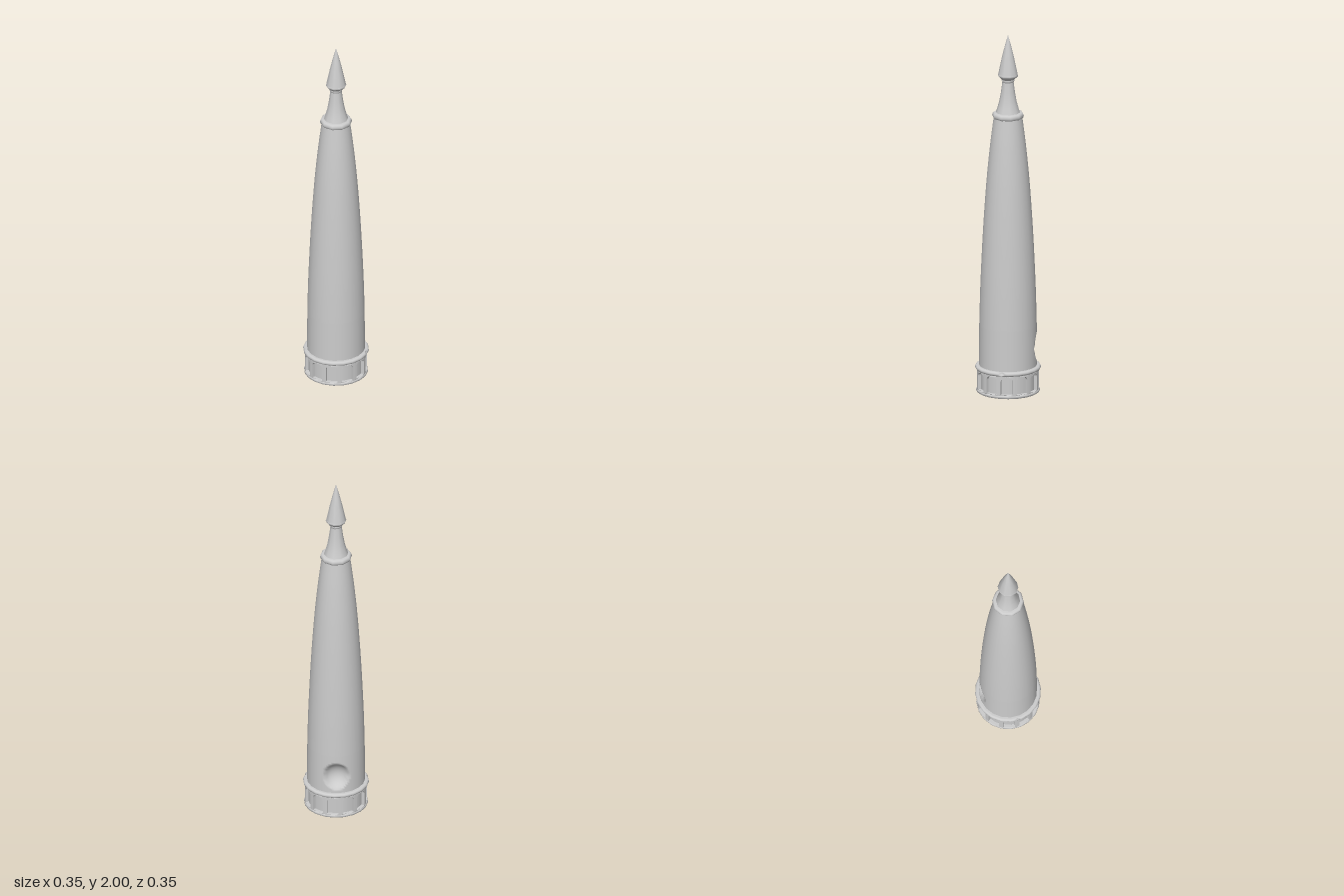
import * as THREE from 'three';

const SIDES = 20;
const grey = new THREE.MeshStandardMaterial({ color: 0xcccccc, side: THREE.DoubleSide });

// Profile of [radius, height] pairs; a repeated point makes a sharp edge
function lathe(points, sides, phase) {
  return new THREE.LatheGeometry(points.map(([r, y]) => new THREE.Vector2(r, y)), sides, phase);
}

// Flatten a finely divided round lathe onto a regular polygon
function facet(geometry, sides, phase) {
  const p = geometry.attributes.position;
  const step = (2 * Math.PI) / sides;
  for (let i = 0; i < p.count; i++) {
    const a = Math.atan2(p.getX(i), p.getZ(i)) - phase + 4 * Math.PI;
    const k = Math.cos(step / 2) / Math.cos((a % step) - step / 2);
    p.setXYZ(i, p.getX(i) * k, p.getY(i), p.getZ(i) * k);
  }
  return geometry;
}

// Push the surface in toward the axis where it lies inside a sphere
function carve(geometry, angle, distance, height, radius) {
  const p = geometry.attributes.position;
  const n = geometry.attributes.normal;
  const old = n.clone();
  const centre = new THREE.Vector3(Math.sin(angle) * distance, height, Math.cos(angle) * distance);
  const v = new THREE.Vector3();
  const near = [];
  for (let i = 0; i < p.count; i++) {
    v.fromBufferAttribute(p, i);
    near.push(v.distanceTo(centre) < radius * 1.1);
    if (v.distanceTo(centre) >= radius) continue;
    const h = Math.hypot(v.x, v.z);
    const b = (v.x * centre.x + v.z * centre.z) / h;
    const c = distance ** 2 + (v.y - height) ** 2 - radius ** 2;
    const t = b - Math.sqrt(Math.max(0, b * b - c));
    p.setXYZ(i, (v.x * t) / h, v.y, (v.z * t) / h);
  }
  geometry.computeVertexNormals();
  const fresh = geometry.attributes.normal;
  for (let i = 0; i < p.count; i++) {
    if (!near[i]) fresh.setXYZ(i, old.getX(i), old.getY(i), old.getZ(i));
  }
  return geometry;
}

// Rounded band profile around radius r and height y
function band(r, y, w, h) {
  const pts = [];
  for (let i = 0; i <= 8; i++) {
    const a = -Math.PI / 2 + (i / 8) * Math.PI;
    pts.push([r + w * Math.cos(a), y + h * Math.sin(a)]);
  }
  return pts;
}

// One bay of the base wall with an arched opening, bent round the axis
function archBay(count, radius, depth, y0, y1) {
  const half = (Math.PI / count) * radius;
  const shape = new THREE.Shape();
  shape.moveTo(-half, y0);
  for (const x of [-0.5, 0, 0.5, 1]) shape.lineTo(half * x, y0);
  for (const x of [1, 0.5, 0, -0.5, -1]) shape.lineTo(half * x, y1);
  shape.closePath();
  const w = half * 0.74;
  const bottom = y0 + 0.006, spring = y1 - 0.032;
  const hole = new THREE.Path();
  hole.moveTo(-w, bottom);
  hole.lineTo(-w, spring);
  hole.absellipse(0, spring, w, 0.024, Math.PI, 0, true);
  hole.lineTo(w, bottom);
  hole.lineTo(0, bottom);
  hole.closePath();
  shape.holes.push(hole);
  const g = new THREE.ExtrudeGeometry(shape, { depth, bevelEnabled: false, curveSegments: 8 });
  const p = g.attributes.position;
  for (let i = 0; i < p.count; i++) {
    const a = p.getX(i) / radius;
    const r = radius - depth + p.getZ(i);
    p.setXYZ(i, Math.sin(a) * r, p.getY(i), Math.cos(a) * r);
  }
  g.computeVertexNormals();
  return g;
}

export function createModel() {
  const model = new THREE.Group();
  const add = (name, geometry, parent = model) => {
    const mesh = new THREE.Mesh(geometry, grey);
    mesh.name = name;
    parent.add(mesh);
    return mesh;
  };
  const phase = Math.PI / SIDES;

  // Base: foot plate, recessed core and ring of arches
  add('foot', lathe([
    [0, 0], [0.165, 0], [0.165, 0], [0.172, 0.005], [0.172, 0.014],
    [0.167, 0.018], [0.167, 0.018], [0.15, 0.018],
  ], SIDES, phase));
  add('baseCore', lathe([[0.15, 0.01], [0.15, 0.135]], SIDES, phase));
  const arcade = new THREE.Group();
  arcade.name = 'baseArches';
  const bays = 12;
  const bay = archBay(bays, 0.168, 0.017, 0.016, 0.13);
  for (let i = 0; i < bays; i++) {
    add('archBay', bay, arcade).rotation.y = (i / bays) * 2 * Math.PI;
  }
  model.add(arcade);

  // Lower ring with two small chips
  const ring = facet(lathe(
    [[0.15, 0.126], ...band(0.166, 0.138, 0.012, 0.012), [0.15, 0.15]], SIDES * 6, phase), SIDES, phase);
  carve(ring, 0.89, 0.184, 0.148, 0.02);
  carve(ring, -1.81, 0.184, 0.145, 0.017);
  add('lowerRing', ring);

  // Tapering body with a scooped dent low on the back
  const outline = new THREE.SplineCurve([
    [0.155, 0.38], [0.149, 0.6], [0.135, 0.9], [0.117, 1.17], [0.097, 1.38], [0.077, 1.54],
  ].map(([r, y]) => new THREE.Vector2(r, y)));
  const profile = [];
  for (let i = 0; i < 24; i++) profile.push([0.157 - (i / 24) * 0.002, 0.14 + i * 0.01]);
  profile.push(...outline.getPoints(20).map((v) => [v.x, v.y]));
  const body = facet(lathe(profile, SIDES * 5, phase), SIDES, phase);
  add('body', carve(body, Math.PI / 2 + 1.17, 0.19, 0.25, 0.085));

  // Upper ring
  add('upperRing', lathe([[0.07, 1.53], ...band(0.074, 1.549, 0.012, 0.016), [0.06, 1.567]], 10, 0));

  // Concave neck
  add('neck', lathe([
    [0.068, 1.56], [0.058, 1.59], [0.047, 1.63], [0.038, 1.68], [0.031, 1.735],
    [0.031, 1.735], [0.035, 1.742], [0.035, 1.75], [0.03, 1.755],
  ], 10, 0));

  // Pointed tip
  add('tip', lathe([
    [0.03, 1.745], [0.053, 1.768], [0.053, 1.768], [0.056, 1.774], [0.053, 1.78],
    [0.053, 1.78], [0.034, 1.87], [0.017, 1.94], [0, 2],
  ], 10, 0));

  return model;
}
